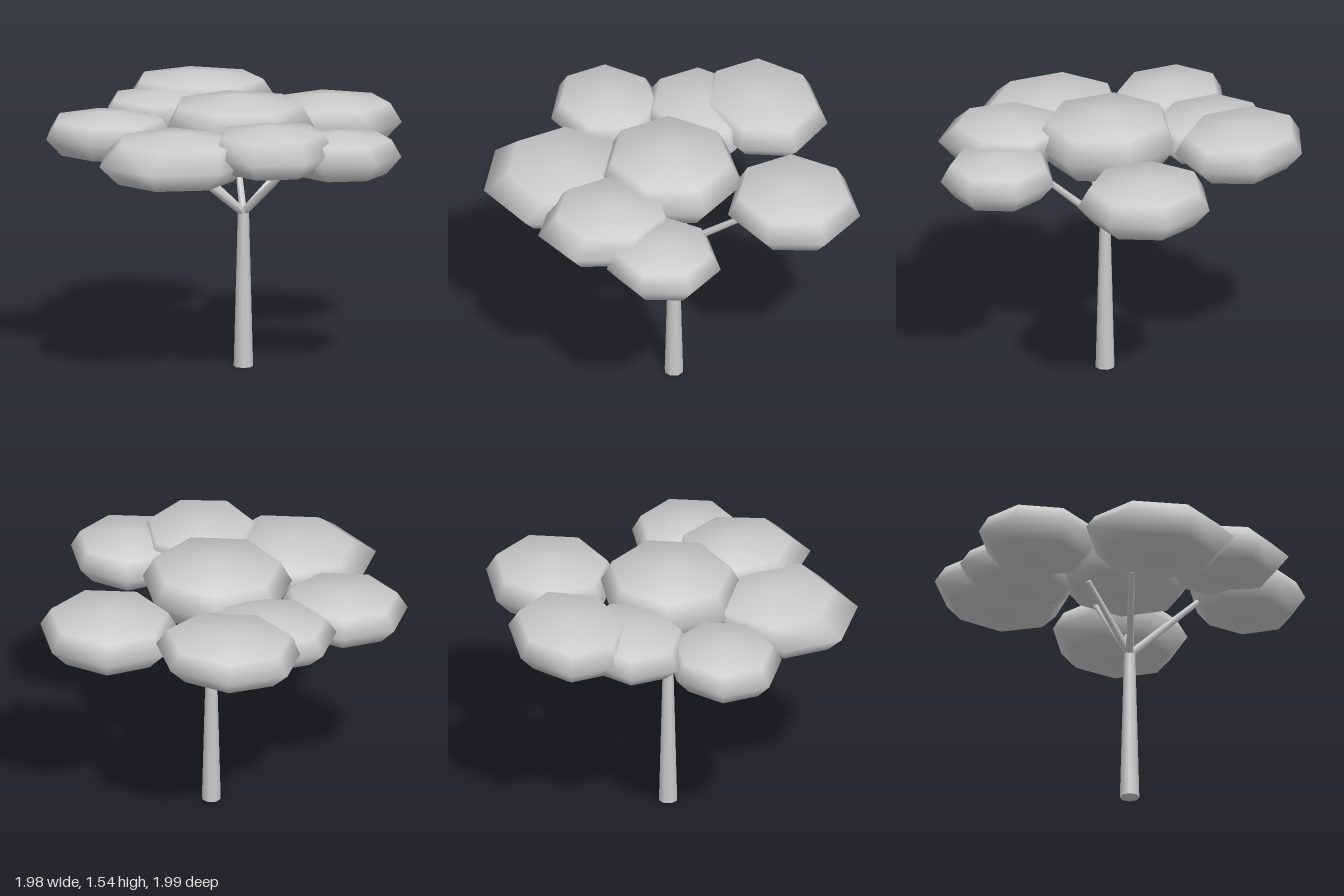
import * as THREE from 'three';
import { mergeVertices } from 'three/addons/utils/BufferGeometryUtils.js';

const material = new THREE.MeshStandardMaterial({ color: 0xcccccc });
const FORK = new THREE.Vector3(0.09, 0.87, 0.035);

// Flattened seven-sided leaf pad: broad top, narrower underside
function leafPad({ at, size, lean = [0, 0] }) {
  let geo = new THREE.SphereGeometry(1, 7, 4);
  geo.rotateY(Math.PI);
  geo.deleteAttribute('uv');
  geo.deleteAttribute('normal');
  geo = mergeVertices(geo, 1e-4);
  const pos = geo.attributes.position;
  for (let i = 0; i < pos.count; i++) {
    const y = pos.getY(i);
    // widen the rings above and below the rim
    const widen = Math.abs(y) < 0.1 ? 1 : (y > 0 ? 0.84 : 0.75) / Math.SQRT1_2;
    const shift = y > 0.1 ? 1 : 0;
    pos.setXYZ(i,
      pos.getX(i) * widen * size[0] + lean[0] * shift,
      y * size[1],
      pos.getZ(i) * widen * size[2] + lean[1] * shift);
  }
  geo.computeVertexNormals();
  const mesh = new THREE.Mesh(geo, material);
  mesh.position.set(...at);
  return mesh;
}

// Tapered round limb between two points
function limb(from, to, r0, r1, sides) {
  const dir = to.clone().sub(from);
  const mesh = new THREE.Mesh(new THREE.CylinderGeometry(r1, r0, dir.length(), sides), material);
  mesh.position.copy(from).addScaledVector(dir, 0.5);
  mesh.quaternion.setFromUnitVectors(new THREE.Vector3(0, 1, 0), dir.normalize());
  return mesh;
}

export function createModel() {
  const tree = new THREE.Group();
  tree.name = 'flatToppedTree';

  // Trunk
  const trunk = limb(new THREE.Vector3(0.09, 0, 0.035), new THREE.Vector3(0.09, 0.89, 0.035), 0.054, 0.031, 8);
  trunk.name = 'trunk';
  tree.add(trunk);

  // Branches fanning out from the fork into the crown
  const branches = new THREE.Group();
  branches.name = 'branches';
  const tips = [
    [-0.25, 1.2, 0.05], [0.02, 1.27, -0.2], [0.42, 1.22, -0.32],
    [-0.2, 1.18, 0.34], [0.4, 1.22, 0.26],
  ];
  tips.forEach((tip, i) => {
    const branch = limb(FORK, new THREE.Vector3(...tip), 0.023, 0.016, 6);
    branch.name = `branch${i + 1}`;
    branches.add(branch);
  });
  tree.add(branches);

  // Crown of overlapping leaf pads
  const crown = new THREE.Group();
  crown.name = 'crown';
  const pads = {
    centrePad: { at: [0.06, 1.36, 0.04], size: [0.425, 0.18, 0.4] },
    backRightPad: { at: [-0.21, 1.37, -0.66], size: [0.42, 0.14, 0.345] },
    backLeftPad: { at: [0.53, 1.28, -0.485], size: [0.395, 0.15, 0.37] },
    leftPad: { at: [0.66, 1.28, 0.38], size: [0.335, 0.138, 0.32] },
    frontLeftPad: { at: [0.29, 1.335, 0.57], size: [0.35, 0.14, 0.37], lean: [0, -0.05] },
    frontRightPad: { at: [-0.25, 1.28, 0.6], size: [0.44, 0.15, 0.4], lean: [0.04, -0.06] },
    rightPad: { at: [-0.66, 1.3, 0.07], size: [0.365, 0.135, 0.32] },
    rearInnerPad: { at: [-0.36, 1.34, -0.36], size: [0.38, 0.125, 0.32] },
  };
  for (const [name, spec] of Object.entries(pads)) {
    const pad = leafPad(spec);
    pad.name = name;
    crown.add(pad);
  }
  tree.add(crown);
  return tree;
}
